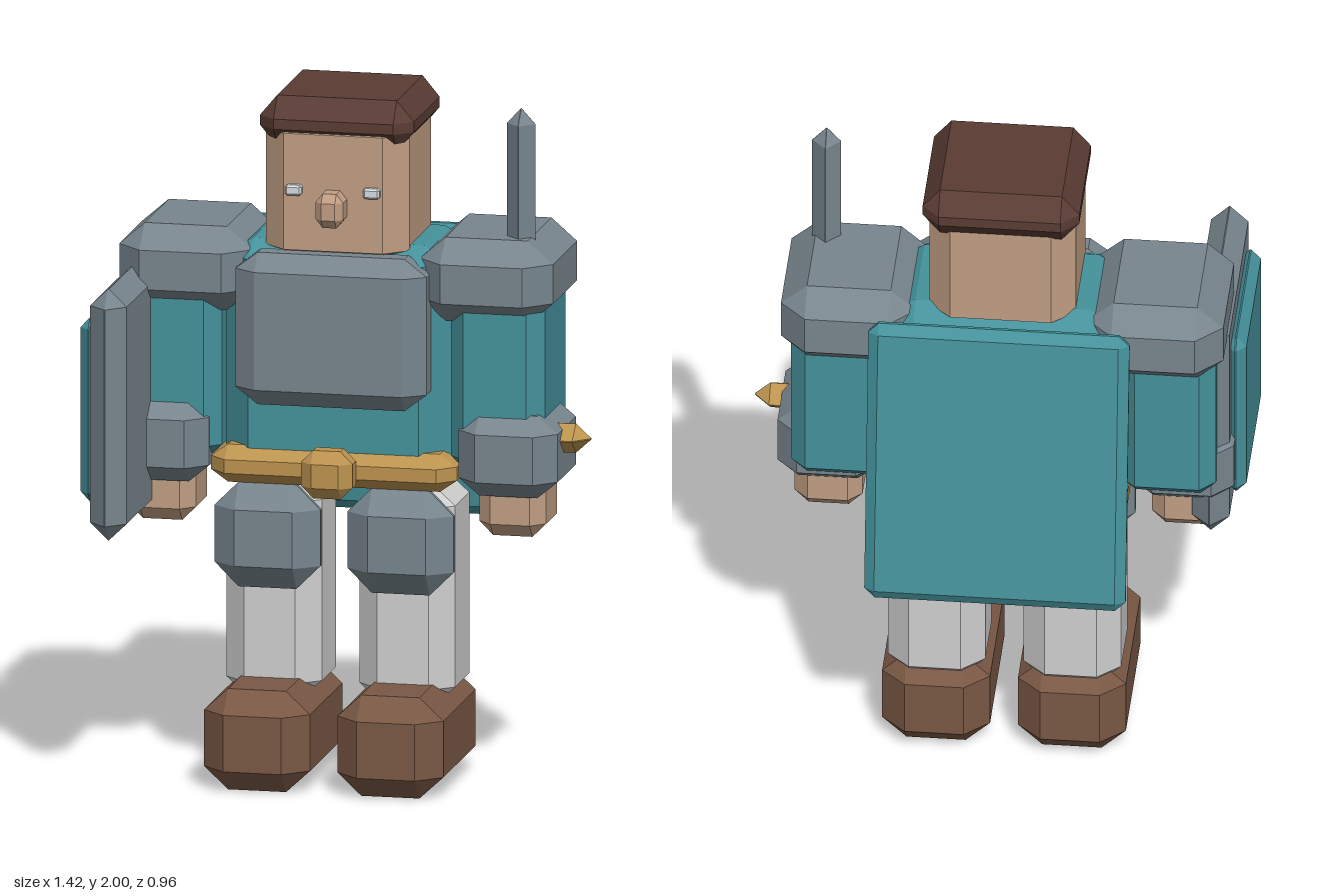
import * as THREE from 'three';
import { ConvexGeometry } from 'three/addons/geometries/ConvexGeometry.js';

const material = (name, color) => {
  const m = new THREE.MeshStandardMaterial({ color });
  m.name = name;
  return m;
};

// Box with all edges cut; the bevel can differ per axis.
function chamferBox([w, h, d], [bx, by, bz]) {
  const points = [];
  for (const sx of [-1, 1]) for (const sy of [-1, 1]) for (const sz of [-1, 1]) {
    const [x, y, z] = [w / 2, h / 2, d / 2];
    for (const [px, py, pz] of [[x, y - by, z - bz], [x - bx, y, z - bz], [x - bx, y - by, z]])
      points.push(new THREE.Vector3(sx * px, sy * py, sz * pz));
  }
  return new ConvexGeometry(points);
}

export function createModel() {
  const teal = material('teal cloth', 0x45929b);
  const steel = material('steel', 0x78868e);
  const skin = material('skin', 0xc29f84);
  const white = material('pale trousers', 0xd0d0d0);
  const brown = material('boot leather', 0x7a5845);
  const dark = material('dark hair', 0x5a3c34);
  const gold = material('gold', 0xbd9450);
  const eyeWhite = material('eye', 0xd5dde2);

  const model = new THREE.Group();
  const body = new THREE.Group();
  body.name = 'body';
  body.position.x = -0.025; // the figure stands slightly off centre
  model.add(body);

  // Adds a chamfered box given its extents on each axis.
  function part(parent, name, mat, [x0, x1], [y0, y1], [z0, z1], bevel) {
    const mesh = new THREE.Mesh(chamferBox([x1 - x0, y1 - y0, z1 - z0], bevel), mat);
    mesh.position.set((x0 + x1) / 2, (y0 + y1) / 2, (z0 + z1) / 2);
    mesh.name = name;
    parent.add(mesh);
    return mesh;
  }

  // Head
  part(body, 'hair', dark, [-0.225, 0.225], [1.85, 2], [-0.32, 0.12], [0.05, 0.06, 0.05]);
  part(body, 'head', skin, [-0.21, 0.21], [1.54, 1.92], [-0.28, 0.12], [0.065, 0.02, 0.06]);
  part(body, 'nose', skin, [-0.04, 0.04], [1.64, 1.74], [0.1, 0.19], [0.02, 0.025, 0.02]);

  // Torso, chest plate and belt
  part(body, 'torso', teal, [-0.33, 0.33], [0.88, 1.575], [-0.3, 0.12], [0.08, 0.05, 0.075]);
  part(body, 'chestPlate', steel, [-0.28, 0.28], [1.11, 1.555], [0.05, 0.195], [0.065, 0.05, 0.045]);
  part(body, 'belt', gold, [-0.36, 0.36], [0.87, 0.98], [-0.33, 0.16], [0.05, 0.035, 0.05]);
  part(body, 'buckle', gold, [-0.075, 0.075], [0.855, 0.995], [0.13, 0.235], [0.035, 0.035, 0.03]);

  // Cape leaning away from the back
  const cape = part(body, 'cape', teal, [-0.375, 0.375], [0.68, 1.565], [-0.415, -0.36], [0.03, 0.03, 0.022]);
  cape.rotation.x = 0.143;

  // Paired parts
  for (const s of [-1, 1]) {
    const side = s > 0 ? 'left' : 'right';
    const pair = (name, mat, [a, b], y, z, bevel) =>
      part(body, side + name, mat, s > 0 ? [a, b] : [-b, -a], y, z, bevel);

    pair('Eye', eyeWhite, [0.09, 0.138], [1.722, 1.753], [0.11, 0.14], [0.006, 0.006, 0.006]);
    pair('ShoulderPad', steel, [0.245, 0.635], [1.365, 1.61], [-0.31, 0.155], [0.075, 0.065, 0.075]);
    pair('Sleeve', teal, [0.335, 0.61], [0.93, 1.5], [-0.24, 0.12], [0.045, 0.04, 0.045]);
    pair('Gauntlet', steel, [0.365, 0.655], [0.865, 1.105], [-0.19, 0.17], [0.06, 0.05, 0.06]);
    pair('Hand', skin, [0.415, 0.61], [0.74, 0.92], [-0.125, 0.1], [0.04, 0.04, 0.04]);
    pair('Leg', white, [0.055, 0.335], [0.22, 0.87], [-0.225, 0.08], [0.065, 0.06, 0.06]);
    pair('ThighGuard', steel, [0.04, 0.35], [0.565, 0.87], [0.04, 0.165], [0.07, 0.07, 0.055]);
    pair('Boot', brown, [0.04, 0.35], [0, 0.295], [-0.245, 0.31], [0.07, 0.065, 0.065]);
  }

  // Sword held upright in the left hand
  const sword = new THREE.Group();
  sword.name = 'sword';
  model.add(sword);
  part(sword, 'blade', steel, [0.462, 0.545], [1, 1.985], [-0.02, 0.063], [0.041, 0.045, 0.041]);
  part(sword, 'crossguard', gold, [0.295, 0.71], [0.985, 1.07], [-0.025, 0.08], [0.045, 0.041, 0.051]);

  // Shield on the right arm
  const shield = new THREE.Group();
  shield.name = 'shield';
  model.add(shield);
  part(shield, 'shieldPlate', steel, [-0.667, -0.56], [0.755, 1.49], [-0.18, 0.482], [0.052, 0.05, 0.05]);
  part(shield, 'shieldPanel', teal, [-0.71, -0.65], [0.85, 1.39], [-0.095, 0.395], [0.028, 0.03, 0.03]);

  return model;
}
